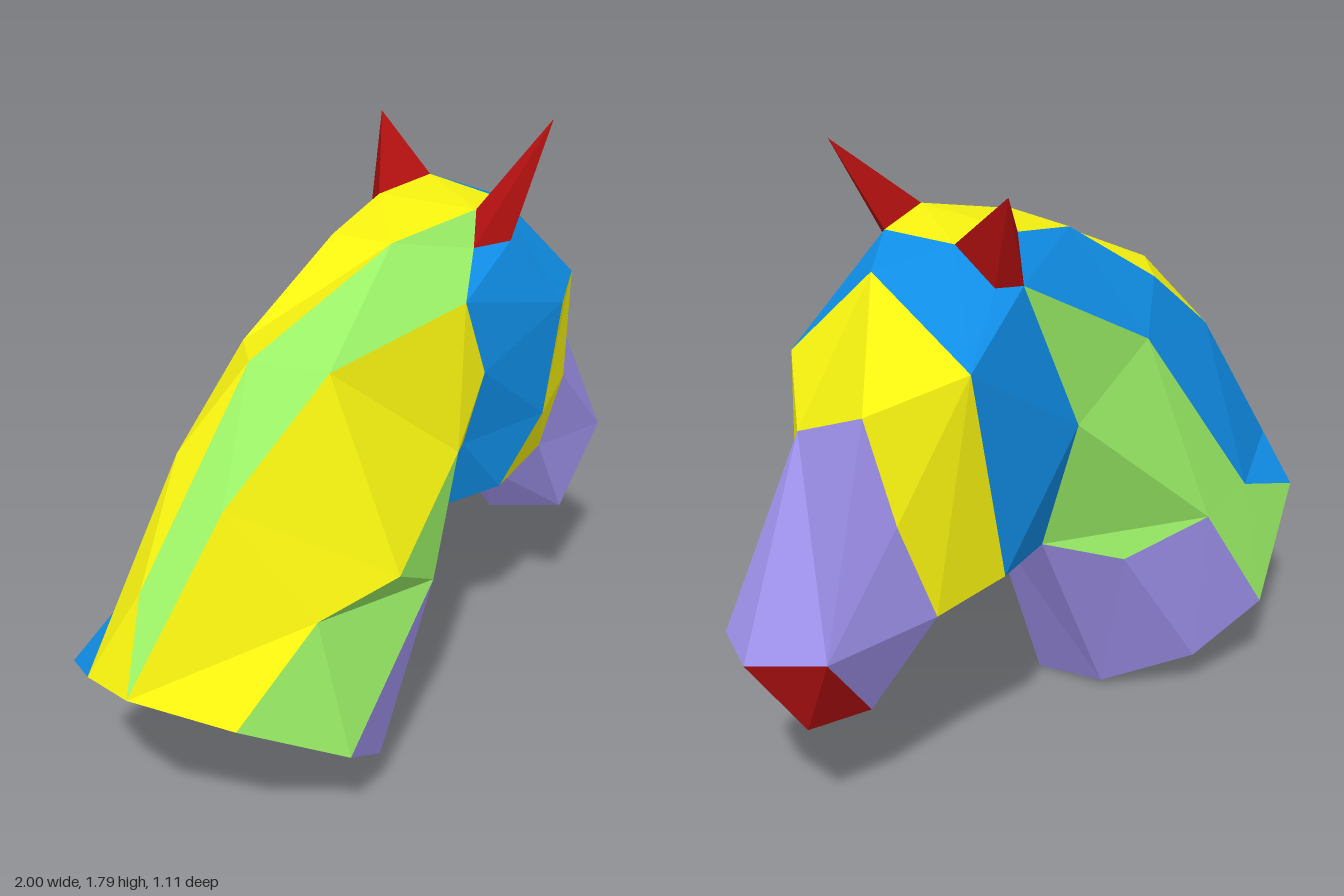
import * as THREE from 'three';

const v = (x, y, z) => new THREE.Vector3(x, y, z);
const COLORS = { yellow: 0xf8f410, green: 0x9aef66, blue: 0x1090ea, purple: 0x9d90ea, red: 0xb01010, dark: 0x444444 };

// Triangles between two rails, always closing with the shorter diagonal
function strip(a, b) {
  const tris = [];
  let i = 0, j = 0;
  while (i < a.length - 1 || j < b.length - 1) {
    const stepA = j === b.length - 1 ||
      (i < a.length - 1 && a[i + 1].distanceTo(b[j]) <= a[i].distanceTo(b[j + 1]));
    tris.push(stepA ? [a[i], b[j], a[++i]] : [a[i], b[j], b[++j]]);
  }
  return tris;
}

// Triangles from one hub to a chain of points
const fan = (hub, ring) => ring.slice(1).map((p, i) => [hub, ring[i], p]);

// Flat-shaded mesh whose facets all face away from an inner spine
function facets(name, color, tris, spine) {
  const pos = [];
  const c = v(), n = v(), q = v(), best = v();
  for (const [a, b, d] of tris) {
    n.subVectors(b, a).cross(q.subVectors(d, a));
    if (n.length() < 1e-6) continue;
    c.copy(a).add(b).add(d).divideScalar(3);
    let dist = Infinity;
    for (let i = 0; i < spine.length - 1; i++) {
      new THREE.Line3(spine[i], spine[i + 1]).closestPointToPoint(c, true, q);
      if (q.distanceTo(c) < dist) { dist = q.distanceTo(c); best.copy(q); }
    }
    const order = n.dot(c.sub(best)) > 0 ? [a, b, d] : [a, d, b];
    order.forEach((p) => pos.push(p.x, p.y, p.z));
  }
  const geo = new THREE.BufferGeometry();
  geo.setAttribute('position', new THREE.Float32BufferAttribute(pos, 3));
  geo.computeVertexNormals();
  const mesh = new THREE.Mesh(geo, new THREE.MeshStandardMaterial({
    color: COLORS[color], flatShading: true, side: THREE.DoubleSide }));
  mesh.name = name;
  return mesh;
}

export function createModel() {
  const model = new THREE.Group();
  model.name = 'horseHead';
  const spine = [v(-0.45, 0.5, 0.15), v(-0.1, 1.0, 0), v(0.25, 1.15, -0.17), v(0.5, 1.05, -0.23), v(0.8, 0.55, -0.36)];
  const add = (name, color, tris, axis = spine) => model.add(facets(name, color, tris, axis));

  // Cut end of the neck
  const base = [
    v(-1, 0.59, 0.25), v(-0.96, 0.61, 0.425), v(-0.72, 0.51, 0.555), v(-0.39, 0.31, 0.555), v(-0.21, 0.15, 0.39),
    v(-0.115, 0, 0.12), v(-0.23, 0.02, -0.07), v(-0.47, 0.125, -0.215), v(-0.7, 0.26, -0.22), v(-0.965, 0.5, 0.03),
  ];
  const baseMid = base.reduce((s, p) => s.add(p), v(0, 0, 0)).divideScalar(base.length);

  // Ear bases, in order: inner, outer rear, outer front, front
  const earL = [v(0.29, 1.58, 0.03), v(0.26, 1.485, 0.07), v(0.38, 1.485, 0.07), v(0.44, 1.555, -0.08)];
  const earR = [v(0.147, 1.56, -0.265), v(0.2, 1.465, -0.41), v(0.28, 1.47, -0.41), v(0.35, 1.57, -0.325)];

  // Rails running up the neck from the cut to the head
  const pollL = v(0.19, 1.365, 0.15), cheekL = v(0.27, 1.13, 0.13), gulletL = v(0.24, 0.885, 0.07);
  const throatL = v(0.12, 0.61, -0.05), throatR = v(0.04, 0.61, -0.2), gulletR = v(0, 1.02, -0.335);
  const chestL = v(0.02, 0.605, 0.285), chestR = v(-0.2, 0.53, -0.25), flankR = v(-0.47, 0.615, -0.265);
  const crestL = [base[1], v(-0.86, 0.83, 0.3), v(-0.445, 1.31, 0.105), v(0.02, 1.53, 0.035), earL[0]];
  const crestR = [base[0], v(-0.65, 1.08, 0.08), v(-0.39, 1.3, -0.05), v(-0.065, 1.515, -0.145), earR[0]];
  const sideL = [base[1], v(-0.635, 1.025, 0.335), v(-0.275, 1.29, 0.235), pollL];
  const lowerL = [base[2], v(-0.435, 0.7, 0.46), v(-0.165, 0.74, 0.42), v(0.145, 0.94, 0.2), gulletL];
  const sideR = [base[9], v(-0.69, 0.615, -0.12), v(-0.27, 1.19, -0.23), earR[1]];

  // Head landmarks
  const brow = v(0.54, 1.5, -0.235), eyeL = v(0.575, 1.26, 0.06), eyeR = v(0.4, 1.3, -0.525);
  const faceL = v(0.715, 1.275, -0.1), faceR = v(0.655, 1.2, -0.44), bridge = v(0.75, 1.1, -0.22);
  const jowlL = v(0.54, 0.9, 0.035), jawL = v(0.405, 0.68, 0.02), jawR = v(0.265, 0.67, -0.43);
  const noseL = v(0.74, 0.905, -0.15), noseR = v(0.59, 0.91, -0.485);
  const lipL = v(0.635, 0.7, -0.115), lipR = v(0.48, 0.62, -0.47), chin = v(0.54, 0.57, -0.29);

  // Muzzle rim: top left, top right, right, bottom right, bottom left
  const rim = [v(0.995, 0.615, -0.295), v(0.995, 0.59, -0.44), v(0.815, 0.605, -0.555),
    v(0.645, 0.345, -0.4), v(0.77, 0.42, -0.175)];
  const noseTip = v(0.84, 0.365, -0.45);

  // Neck
  add('neckBase', 'dark', fan(baseMid, [...base, base[0]]));
  add('crest', 'yellow', [...strip(crestL, crestR), ...fan(earL[0], [earL[3], earR[3], earR[0]])]);
  add('neckLeftUpper', 'green', strip(crestL, [...sideL, earL[1]]));
  add('neckLeftSide', 'yellow', strip([...sideL, cheekL], lowerL));
  add('neckLeftLower', 'green', strip(lowerL, [base[3], chestL, throatL]));
  add('neckRightUpper', 'blue', strip(crestR, sideR));
  add('neckRightSide', 'green', [
    ...strip(sideR, [base[8], flankR, gulletR]), ...strip([flankR, gulletR], [chestR, throatR])]);
  add('neckFront', 'purple', strip(base.slice(3, 9), [chestL, throatL, throatR, chestR, flankR]));

  // Skull, cheeks and throat
  add('skull', 'blue', [
    ...fan(eyeL, [jowlL, cheekL, pollL, earL[2], earL[3], faceL]),
    ...fan(pollL, [earL[1], earL[2]]),
    ...fan(gulletL, [cheekL, jowlL, jawL, throatL]),
    ...fan(brow, [faceL, earL[3], earR[3], eyeR]),
    ...fan(eyeR, [earR[3], earR[2], earR[1], gulletR, jawR]),
    ...fan(jawR, [gulletR, throatR, throatL, jawL]),
  ]);

  // Forehead, face sides and jaw
  add('face', 'yellow', [
    ...fan(brow, [eyeR, faceR, bridge, faceL]),
    ...fan(noseL, [bridge, faceL, jowlL, lipL]),
    ...fan(jowlL, [eyeL, faceL]),
    ...fan(jowlL, [lipL, jawL]),
    ...fan(lipR, [lipL, jawL, jawR, eyeR, noseR]),
    ...fan(eyeR, [noseR, faceR]),
  ]);

  // Muzzle and nose
  add('muzzle', 'purple', [
    ...strip([bridge, faceR, noseR, lipR], rim.slice(0, 4)),
    ...strip([bridge, noseL, lipL], [rim[0], rim[4]]),
    ...fan(chin, [lipL, rim[4], rim[3], lipR, lipL]),
  ]);
  add('nose', 'red', fan(noseTip, [...rim, rim[0]]));

  // Ears
  const ears = [['leftEar', earL, v(0.555, 1.79, 0)], ['rightEar', earR, v(0.285, 1.725, -0.5)]];
  for (const [name, ring, tip] of ears) {
    const mid = ring.reduce((s, p) => s.add(p), v(0, 0, 0)).divideScalar(4);
    add(name, 'red', fan(tip, [...ring, ring[0]]), [mid, tip]);
  }
  return model;
}
